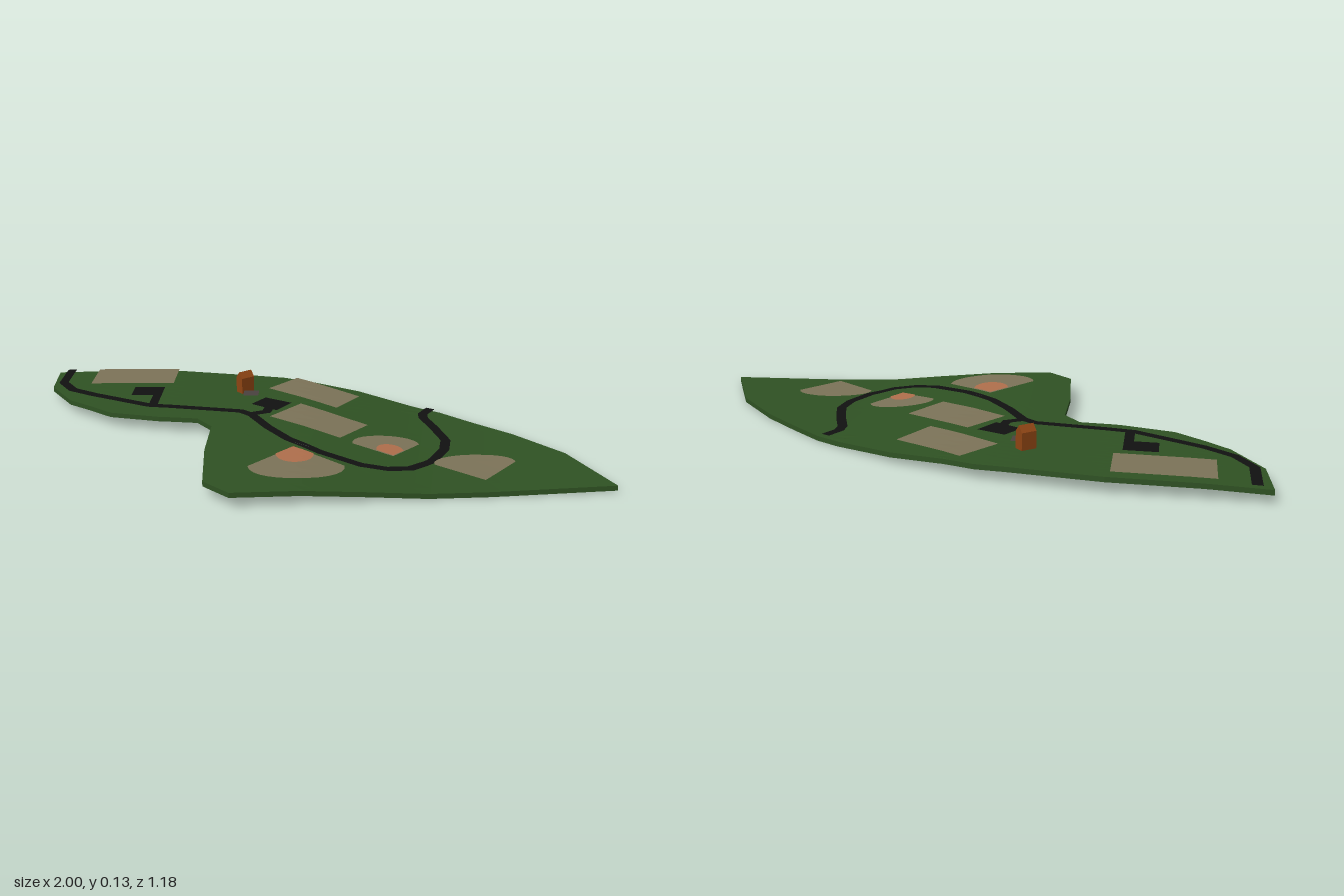
import * as THREE from 'three';

// Underside height of the ground along x
const PROFILE = [[-1, 0.027], [-0.8, 0.035], [-0.5, 0.038], [-0.2, 0.036], [0, 0.032],
  [0.2, 0.018], [0.4, 0.002], [0.6, 0], [1, 0.006]];
const THICK = 0.017;

function baseHeight(x) {
  for (let i = 1; i < PROFILE.length; i++) {
    const [x0, y0] = PROFILE[i - 1], [x1, y1] = PROFILE[i];
    if (x <= x1) return y0 + (y1 - y0) * Math.max(0, (x - x0) / (x1 - x0));
  }
  return PROFILE[PROFILE.length - 1][1];
}

// Split every triangle in four, several times, then lay the result on the ground profile
function drape(geometry, levels, lift) {
  let g = geometry.index ? geometry.toNonIndexed() : geometry;
  g.rotateX(-Math.PI / 2);
  let pos = Array.from(g.attributes.position.array);
  for (let l = 0; l < levels; l++) {
    const out = [];
    for (let i = 0; i < pos.length; i += 9) {
      const [a, b, c] = [0, 3, 6].map((k) => pos.slice(i + k, i + k + 3));
      const mid = (p, q) => p.map((v, k) => (v + q[k]) / 2);
      const ab = mid(a, b), bc = mid(b, c), ca = mid(c, a);
      for (const p of [a, ab, ca, ab, b, bc, ca, bc, c, ab, bc, ca]) out.push(...p);
    }
    pos = out;
  }
  for (let i = 0; i < pos.length; i += 3) pos[i + 1] += baseHeight(pos[i]) + lift;
  g = new THREE.BufferGeometry();
  g.setAttribute('position', new THREE.Float32BufferAttribute(pos, 3));
  g.computeVertexNormals();
  return g;
}

// Plan coordinates are [x, z]
const toShape = (pts) => new THREE.Shape(pts.map(([x, z]) => new THREE.Vector2(x, -z)));

const rect = (x0, z0, x1, z1) => [[x0, z0], [x1, z0], [x1, z1], [x0, z1]];

// Mitred outline of a strip following a centre line
function strip(pts, width) {
  const v = pts.map((p) => new THREE.Vector2(...p));
  const left = [], right = [];
  v.forEach((p, i) => {
    const d0 = p.clone().sub(v[Math.max(i - 1, 0)]).normalize();
    const d1 = v[Math.min(i + 1, v.length - 1)].clone().sub(p).normalize();
    const t = d0.clone().add(d1).normalize();
    const ref = i ? d0 : d1;
    const h = width / 2 / Math.max(0.5, t.dot(ref));
    left.push([p.x - t.y * h, p.y + t.x * h]);
    right.unshift([p.x + t.y * h, p.y - t.x * h]);
  });
  return [...left, ...right];
}

// Fan-shaped ball field: a pointed corner, two straight sides and a bulging far edge
function fan(apex, a, b, bulge, scale = 1) {
  const P = new THREE.Vector2(...apex);
  const A = new THREE.Vector2(...a).lerp(P, 1 - scale);
  const B = new THREE.Vector2(...b).lerp(P, 1 - scale);
  const out = A.clone().add(B).multiplyScalar(0.5).sub(P).setLength(bulge / 0.75);
  const arc = new THREE.CubicBezierCurve(A, A.clone().add(out), B.clone().add(out), B);
  return [apex, ...arc.getPoints(14).map((p) => [p.x, p.y])];
}

export function createModel() {
  const group = new THREE.Group();
  const mat = (color, side = THREE.DoubleSide) =>
    new THREE.MeshStandardMaterial({ color, side, flatShading: true });
  const asphalt = mat(0x111111), turf = mat(0x7c7358), clay = mat(0xb06f4c);
  const paving = mat(0x4a423f);

  const add = (name, geometry, material) => {
    const mesh = new THREE.Mesh(geometry, material);
    mesh.name = name;
    group.add(mesh);
    return mesh;
  };
  const sheet = (name, pts, material, lift) =>
    add(name, drape(new THREE.ShapeGeometry(toShape(pts)), 2, THICK + lift), material);

  // Ground slab
  const outline = [[-1, -0.595], [-0.505, -0.595], [-0.1, -0.535], [0.19, -0.425], [0.485, -0.245],
    [0.725, -0.03], [0.88, 0.15], [1, 0.425], [0.405, 0.5], [-0.217, 0.59], [-0.307, 0.505],
    [-0.33, 0.24], [-0.33, 0.02], [-0.388, -0.056], [-0.527, -0.067], [-0.709, -0.11],
    [-0.885, -0.25], [-0.985, -0.41]];
  const slab = new THREE.ExtrudeGeometry(toShape(outline), { depth: THICK, bevelEnabled: false });
  add('ground', drape(slab, 4, 0), mat(0x2f5223, THREE.FrontSide));

  // Road and its two spurs
  const road = [[-0.95, -0.595], [-0.95, -0.435], [-0.895, -0.345], [-0.8, -0.28], [-0.575, -0.163],
    [-0.238, -0.115], [-0.195, -0.078], [-0.13, 0.04], [-0.055, 0.147], [0.055, 0.25],
    [0.19, 0.335], [0.275, 0.35], [0.35, 0.33], [0.425, 0.254], [0.473, 0.147], [0.484, 0.06],
    [0.45, -0.067], [0.42, -0.158], [0.42, -0.2], [0.452, -0.26]];
  sheet('road', strip(road, 0.034), asphalt, 0.01);
  sheet('westSpur', strip([[-0.563, -0.16], [-0.563, -0.32]], 0.032), asphalt, 0.0105);
  sheet('eastSpur', strip([[-0.2, -0.085], [-0.145, -0.115], [-0.135, -0.18]], 0.034), asphalt, 0.0105);

  // Parking lots
  sheet('westParking', rect(-0.66, -0.365, -0.547, -0.27), asphalt, 0.011);
  sheet('eastParking', [[-0.158, -0.265], [-0.06, -0.215], [-0.11, -0.13], [-0.205, -0.19]], asphalt, 0.011);

  // Rectangular fields
  [
    rect(-0.837, -0.58, -0.52, -0.405),
    [[-0.05, -0.5], [0.19, -0.33], [0.105, -0.185], [-0.152, -0.366]],
    [[-0.025, -0.205], [0.217, -0.03], [0.12, 0.115], [-0.13, -0.06]],
  ].forEach((pts, i) => sheet(`playingField${i + 1}`, pts, turf, 0.013));

  // Ball fields, two of them with a clay infield
  [
    { corners: [[-0.035, 0.228], [0.137, 0.36], [-0.174, 0.405]], bulge: 0.107, infield: 0.075 },
    { corners: [[0.297, 0.243], [0.39, 0.115], [0.163, 0.158]], bulge: 0.075, infield: 0.055 },
    { corners: [[0.585, 0.41], [0.7, 0.254], [0.43, 0.29]], bulge: 0.075 },
  ].forEach(({ corners, bulge, infield }, i) => {
    sheet(`ballField${i + 1}`, fan(...corners, bulge), turf, 0.013);
    if (infield) sheet(`infield${i + 1}`, fan(...corners, infield, 0.4), clay, 0.016);
  });

  // Paved square beside the house
  sheet('patio', rect(-0.243, -0.333, -0.187, -0.278), paving, 0.013);

  // Gabled house, ridge along its length
  const w = 0.018, len = 0.055;
  const gable = new THREE.Shape([[-w, 0], [w, 0], [w, 0.046], [0, 0.068], [-w, 0.046]]
    .map((p) => new THREE.Vector2(...p)));
  const houseGeo = new THREE.ExtrudeGeometry(gable, { depth: len, bevelEnabled: false });
  houseGeo.translate(0, 0, -len / 2);
  const house = add('house', houseGeo, mat(0x8f4513, THREE.FrontSide));
  house.position.set(-0.241, 0.066, -0.362);
  house.rotation.y = -0.87;

  // Post holding the house above the ground
  const footing = add('houseFooting', new THREE.BoxGeometry(2 * w, 0.014, len), house.material);
  footing.position.set(-0.241, 0.059, -0.362);
  footing.rotation.y = house.rotation.y;

  return group;
}
